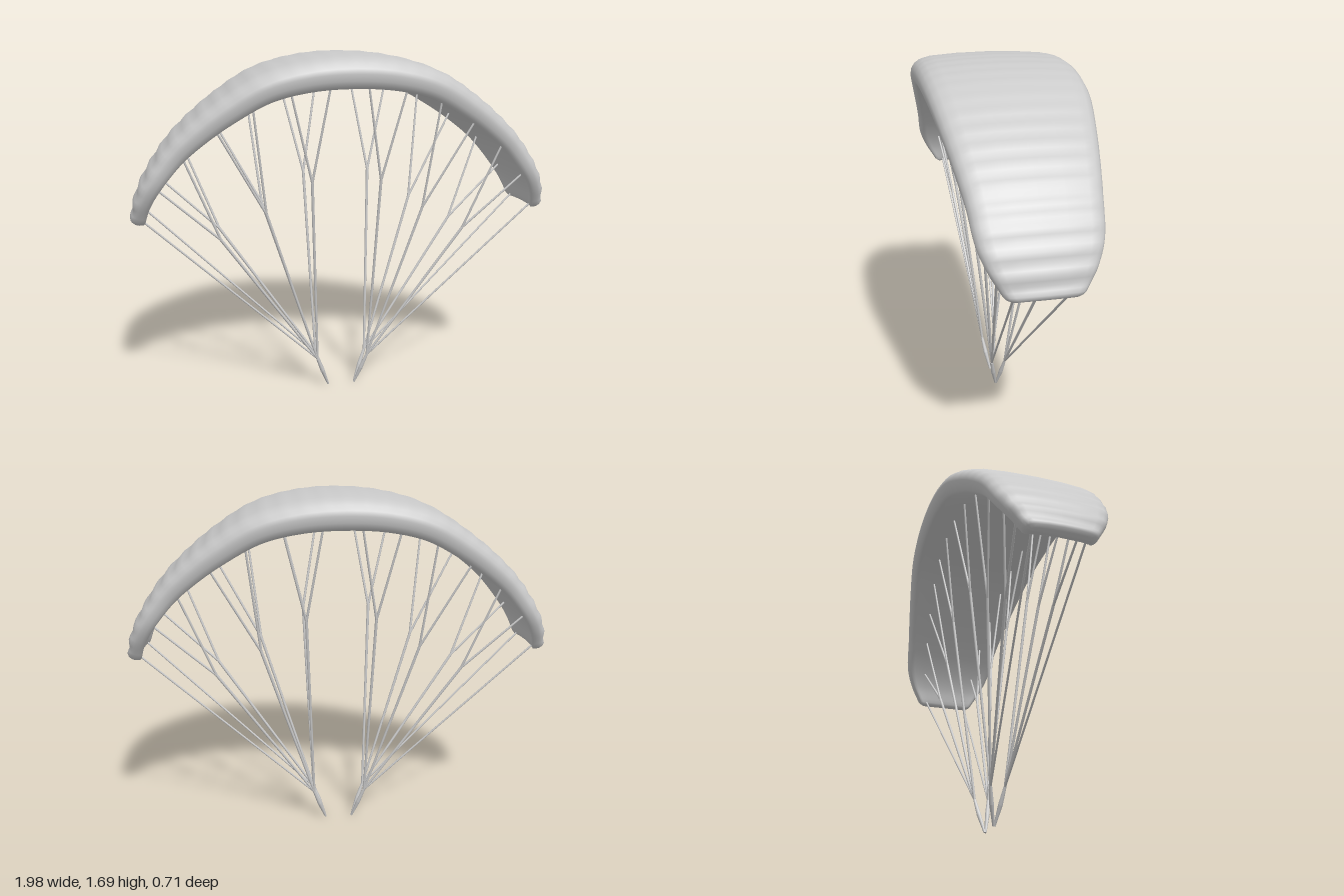
import * as THREE from 'three';

const fabric = new THREE.MeshStandardMaterial({ color: 0xcacaca });
fabric.name = 'light grey';

// Half of the arched span: x, y of the mid-surface and half chord in z
const HALF_SPAN = [
  [0, 1.613, 0.355], [0.2, 1.598, 0.351], [0.38, 1.55, 0.338], [0.55, 1.452, 0.312],
  [0.68, 1.355, 0.288], [0.78, 1.262, 0.268], [0.88, 1.13, 0.247], [0.928, 1.04, 0.21], [0.953, 0.955, 0.16],
];

// Half of the wing section: fraction of half chord, fraction of half thickness
const HALF_SECTION = [
  [0, 1], [0.4, 0.96], [0.75, 0.84], [0.88, 0.68], [0.95, 0.45], [0.99, 0.15], [1, -0.15],
  [0.985, -0.55], [0.95, -0.87], [0.91, -1], [0.85, -0.9], [0.6, -0.72], [0, -0.6],
];

function canopyGeometry() {
  const mirrored = HALF_SPAN.slice(1).reverse().map(([x, y, c]) => [-x, y, c]);
  const span = new THREE.CatmullRomCurve3(
    [...mirrored, ...HALF_SPAN].map((p) => new THREE.Vector3(...p)));
  // Closed loop running +z, over the top, -z, and back underneath
  const section = [
    ...HALF_SECTION.slice().reverse(),
    ...HALF_SECTION.slice(1, -1).map(([z, n]) => [-z, n]),
  ];
  const steps = 120;
  const stations = [];
  for (let i = 0; i <= steps; i++) stations.push({ u: i / steps, out: 0, thick: 1, trim: 0 });
  // Rounded wing tips
  const tip = [[0.012, 0.85, 0.012], [0.02, 0.5, 0.028], [0.023, 0, 0.04]];
  for (const [out, thick, trim] of tip) {
    stations.push({ u: 1, out, thick, trim });
    stations.unshift({ u: 0, out: -out, thick, trim });
  }

  const pos = [], index = [], m = section.length;
  stations.forEach(({ u, out, thick, trim }, i) => {
    const p = span.getPointAt(u), t = span.getTangentAt(u);
    t.z = 0;
    t.normalize();
    const side = Math.abs(2 * u - 1);
    // Fabric puckers between the ribs, stronger toward the tips
    const pucker = (0.0015 + 0.004 * side * side) * Math.cos(u * Math.PI * 2 * 30);
    const half = (0.075 - 0.04 * side ** 1.6) * thick;
    const chord = p.z - trim;
    for (const [z, n] of section) {
      const h = half * n + (n > 0 ? pucker * n * thick : 0);
      pos.push(p.x + t.x * out - t.y * h, p.y + t.y * out + t.x * h, z * chord);
    }
    if (i === 0) return;
    for (let j = 0; j < m; j++) {
      const k = (j + 1) % m;
      const a = (i - 1) * m + j, b = i * m + j, c = (i - 1) * m + k, d = i * m + k;
      index.push(a, b, c, b, d, c);
    }
  });
  const geo = new THREE.BufferGeometry();
  geo.setAttribute('position', new THREE.Float32BufferAttribute(pos, 3));
  geo.setIndex(index);
  geo.computeVertexNormals();
  return geo;
}

// Round cord between two points
function cord(name, from, to, r0, r1 = r0) {
  const a = new THREE.Vector3(...from), b = new THREE.Vector3(...to);
  const dir = b.clone().sub(a);
  const mesh = new THREE.Mesh(new THREE.CylinderGeometry(r1, r0, dir.length(), 8), fabric);
  mesh.name = name;
  mesh.position.copy(a).add(b).multiplyScalar(0.5);
  mesh.quaternion.setFromUnitVectors(new THREE.Vector3(0, 1, 0), dir.normalize());
  return mesh;
}

// Each main line forks into two upper lines that meet the canopy
const FORKS = [
  { node: [0.163, 1.1, 0.145], ends: [[0.083, 1.56, 0.215], [0.268, 1.54, 0.21]] },
  { node: [0.375, 0.955, 0.122], ends: [[0.432, 1.48, 0.2], [0.605, 1.38, 0.185]] },
  { node: [0.588, 0.84, 0.107], ends: [[0.75, 1.26, 0.165], [0.875, 1.11, 0.145]] },
];

export function createModel() {
  const model = new THREE.Group();
  model.name = 'paraglider';

  const canopy = new THREE.Mesh(canopyGeometry(), fabric);
  canopy.name = 'canopy';
  model.add(canopy);

  for (const sx of [1, -1]) {
    for (const sz of [1, -1]) {
      const rig = new THREE.Group();
      rig.name = (sx > 0 ? 'left' : 'right') + (sz > 0 ? 'Front' : 'Rear') + 'Lines';
      const at = ([x, y, z]) => [x * sx, y, z * sz];
      const top = at([0.128, 0.165, 0.033]);
      const mid = at([0.1, 0.09, 0.02]);
      // Strap swelling in the middle
      rig.add(cord('riser', at([0.068, 0.003, 0.002]), mid, 0.005, 0.011));
      rig.add(cord('riser', mid, top, 0.011, 0.007));
      for (const { node, ends } of FORKS) {
        rig.add(cord('mainLine', top, at(node), 0.006, 0.007));
        for (const end of ends) rig.add(cord('upperLine', at(node), at(end), 0.006, 0.005));
      }
      rig.add(cord('tipLine', top, at([0.945, 0.96, 0.115]), 0.005));
      model.add(rig);
    }
  }
  return model;
}
